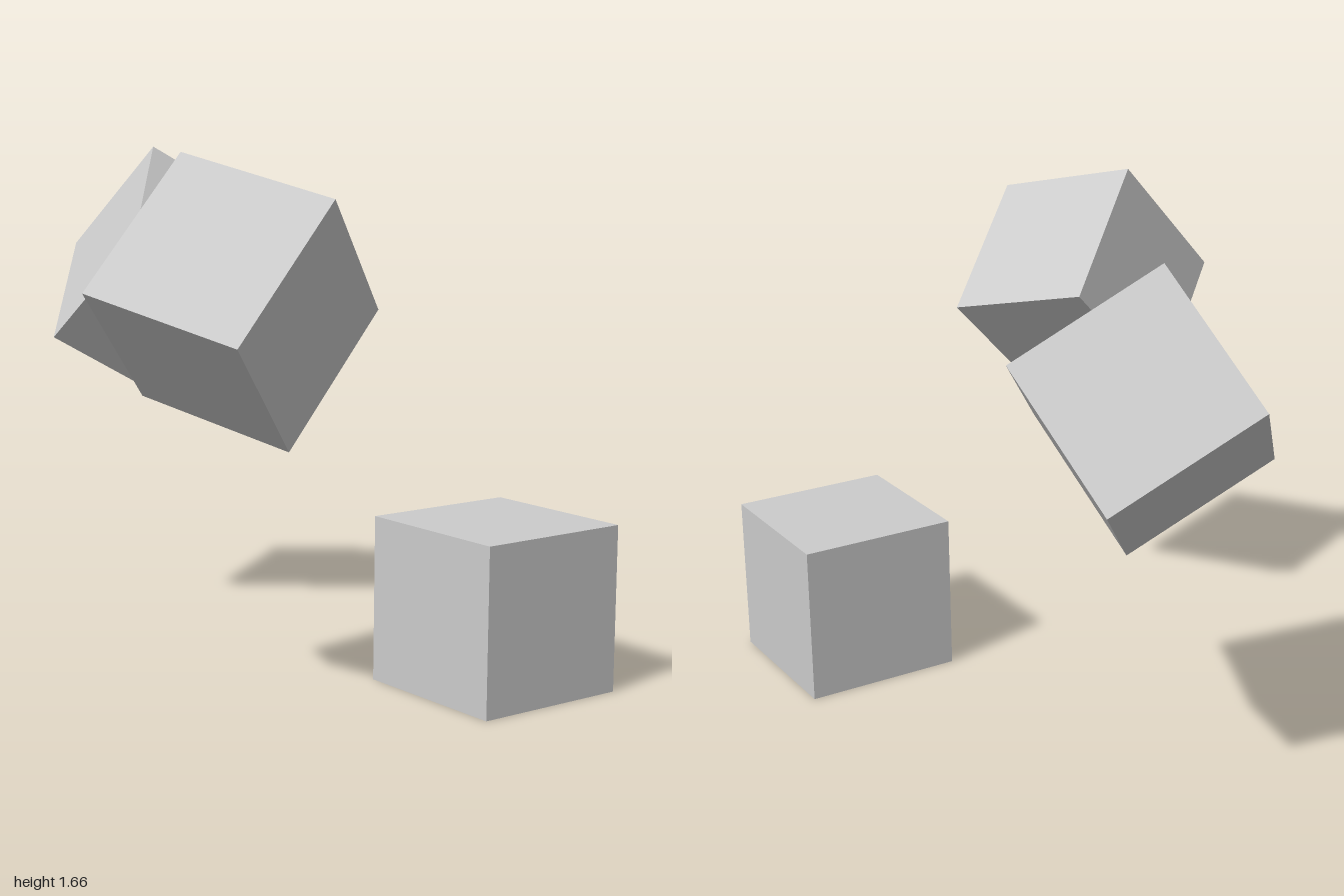
import * as THREE from 'three';

const SIZE = 0.527;

// One cube, turned so that its local x and y edges follow the given directions
function cube(name, center, xDir = [1, 0, 0], yDir = [0, 1, 0]) {
  const mesh = new THREE.Mesh(
    new THREE.BoxGeometry(SIZE, SIZE, SIZE),
    new THREE.MeshStandardMaterial({ color: 0xcccccc, flatShading: true })
  );
  const x = new THREE.Vector3(...xDir).normalize();
  const z = x.clone().cross(new THREE.Vector3(...yDir)).normalize();
  const y = z.clone().cross(x);
  mesh.quaternion.setFromRotationMatrix(new THREE.Matrix4().makeBasis(x, y, z));
  mesh.position.set(...center);
  mesh.name = name;
  return mesh;
}

export function createModel() {
  const group = new THREE.Group();
  group.name = 'tumblingCubes';
  group.add(
    // Cube resting on the ground
    cube('restingCube', [0.527, SIZE / 2, 0.736]),
    // Two tilted cubes in the air
    cube('frontTumblingCube', [-0.349, 1.242, 0.578], [0.36, 0.385, -0.045], [-0.335, 0.34, 0.22]),
    cube('rearTumblingCube', [0.178, 1.202, -0.571], [0.435, -0.265, 0.145], [0.08, 0.35, 0.38])
  );
  return group;
}
